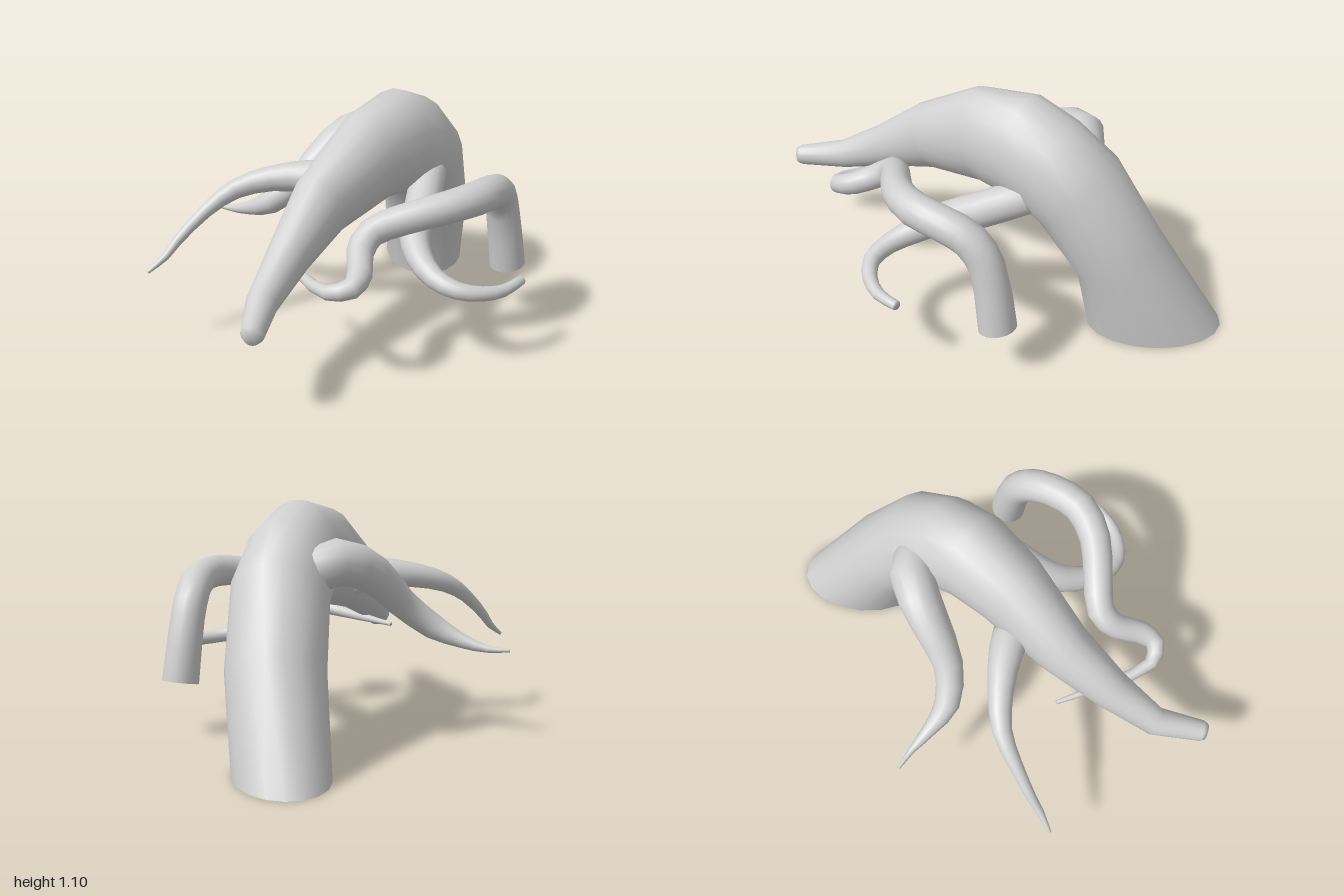
import * as THREE from 'three';

const SIDES = 18;
const bark = new THREE.MeshStandardMaterial({ color: 0xd0d0d0, side: THREE.DoubleSide });
bark.name = 'plain grey';

// Tapering limb through rings [x, y, z, radius across, radius along the bend].
// Options: start = side direction of the first ring, facing = its normal,
// level = keep the cross-sections upright, openStart = leave the first end hollow,
// sub = steps between neighbouring rings.
function limb(name, rings, { start = [0, 1, 0], facing, level = false, openStart = false, sub = 2 } = {}) {
  const curve = new THREE.CatmullRomCurve3(rings.map(r => new THREE.Vector3(r[0], r[1], r[2])));
  const steps = (rings.length - 1) * sub;
  const pos = [], index = [];
  const side = new THREE.Vector3(...start);

  for (let k = 0; k <= steps; k++) {
    const p = curve.getPoint(k / steps);
    const t = k === 0 && facing ? new THREE.Vector3(...facing) : curve.getTangent(k / steps);
    if (level && k > 0) side.set(t.z, 0, -t.x);
    side.addScaledVector(t, -side.dot(t)).normalize();
    const up = t.clone().cross(side);
    const a = rings[Math.floor(k / sub)], b = rings[Math.ceil(k / sub)];
    const across = (a[3] + b[3]) / 2;
    const along = ((a[4] ?? a[3]) + (b[4] ?? b[3])) / 2;
    for (let i = 0; i < SIDES; i++) {
      const angle = (i / SIDES) * Math.PI * 2;
      const v = p.clone()
        .addScaledVector(side, Math.cos(angle) * across)
        .addScaledVector(up, Math.sin(angle) * along);
      pos.push(v.x, v.y, v.z);
    }
  }

  // skin
  for (let k = 0; k < steps; k++) {
    for (let i = 0; i < SIDES; i++) {
      const j = (i + 1) % SIDES;
      const a = k * SIDES + i, b = k * SIDES + j, c = b + SIDES, d = a + SIDES;
      index.push(a, b, c, a, c, d);
    }
  }
  // end caps, sharing the rim so the tips look rounded
  for (const k of openStart ? [steps] : [0, steps]) {
    const hub = pos.length / 3;
    pos.push(...curve.getPoint(k / steps).toArray());
    for (let i = 0; i < SIDES; i++) {
      const a = k * SIDES + i, b = k * SIDES + (i + 1) % SIDES;
      if (k === 0) index.push(hub, b, a);
      else index.push(hub, a, b);
    }
  }

  const geo = new THREE.BufferGeometry();
  geo.setAttribute('position', new THREE.Float32BufferAttribute(pos, 3));
  geo.setIndex(index);
  geo.computeVertexNormals();
  const mesh = new THREE.Mesh(geo, bark);
  mesh.name = name;
  return mesh;
}

export function createModel() {
  const group = new THREE.Group();
  group.name = 'archedRoot';

  // thick arch, from its flat hollow foot over the top to the front tip
  group.add(limb('mainTrunk', [
    [-0.41, 0, -0.75, 0.205, 0.318],
    [-0.265, 0.40, -0.63, 0.217, 0.215],
    [-0.14, 0.70, -0.47, 0.22, 0.23],
    [-0.07, 0.80, -0.34, 0.21, 0.245],
    [-0.02, 0.85, -0.21, 0.20, 0.255],
    [0.04, 0.83, 0.0, 0.175, 0.228],
    [0.12, 0.695, 0.33, 0.13, 0.165],
    [0.23, 0.555, 0.58, 0.095, 0.107],
    [0.35, 0.44, 0.80, 0.068, 0.072],
    [0.515, 0.42, 0.95, 0.05, 0.05],
    [0.53, 0.418, 0.965, 0.038, 0.042],
  ], { start: [0.6, 0, -0.8], facing: [0, 1, 0], level: true, openStart: true, sub: 1 }));

  // branch on the right, bending outwards
  group.add(limb('rightBackBranch', [
    [-0.20, 0.77, -0.41, 0.10],
    [-0.31, 0.84, -0.285, 0.105],
    [-0.345, 0.77, -0.08, 0.09],
    [-0.36, 0.63, 0.10, 0.07],
    [-0.45, 0.51, 0.23, 0.06],
    [-0.58, 0.45, 0.28, 0.034],
    [-0.70, 0.42, 0.315, 0.016],
    [-0.79, 0.42, 0.355, 0.008],
  ]));

  // branch on the right, drooping forwards
  group.add(limb('rightFrontBranch', [
    [-0.03, 0.72, 0.14, 0.09],
    [-0.12, 0.735, 0.22, 0.08],
    [-0.235, 0.725, 0.36, 0.06],
    [-0.32, 0.68, 0.51, 0.046],
    [-0.34, 0.60, 0.66, 0.032],
    [-0.345, 0.49, 0.81, 0.023],
    [-0.34, 0.43, 0.88, 0.018],
    [-0.345, 0.375, 0.97, 0.008],
  ]));

  // free winding root with a hollow cut end hanging at the back
  group.add(limb('leftWindingRoot', [
    [0.397, 0.255, -0.59, 0.087],
    [0.407, 0.55, -0.53, 0.08],
    [0.445, 0.665, -0.46, 0.08],
    [0.505, 0.715, -0.36, 0.078],
    [0.56, 0.735, -0.21, 0.078],
    [0.535, 0.72, -0.04, 0.073],
    [0.45, 0.68, 0.12, 0.069],
    [0.385, 0.63, 0.25, 0.066],
    [0.42, 0.57, 0.34, 0.06],
    [0.51, 0.525, 0.41, 0.055],
    [0.553, 0.495, 0.49, 0.046],
    [0.48, 0.47, 0.56, 0.033],
    [0.25, 0.455, 0.53, 0.022],
    [0.0, 0.445, 0.48, 0.01],
  ], { start: [1, 0, 0], openStart: true }));

  // low branch on the left, hooking backwards
  group.add(limb('leftHookedBranch', [
    [0.06, 0.69, -0.36, 0.085],
    [0.20, 0.58, -0.20, 0.085],
    [0.30, 0.51, -0.07, 0.074],
    [0.42, 0.45, 0.0, 0.062],
    [0.56, 0.41, 0.03, 0.048],
    [0.67, 0.385, 0.0, 0.04],
    [0.735, 0.367, -0.09, 0.034],
    [0.76, 0.36, -0.20, 0.028],
    [0.745, 0.37, -0.325, 0.022],
  ]));

  return group;
}
